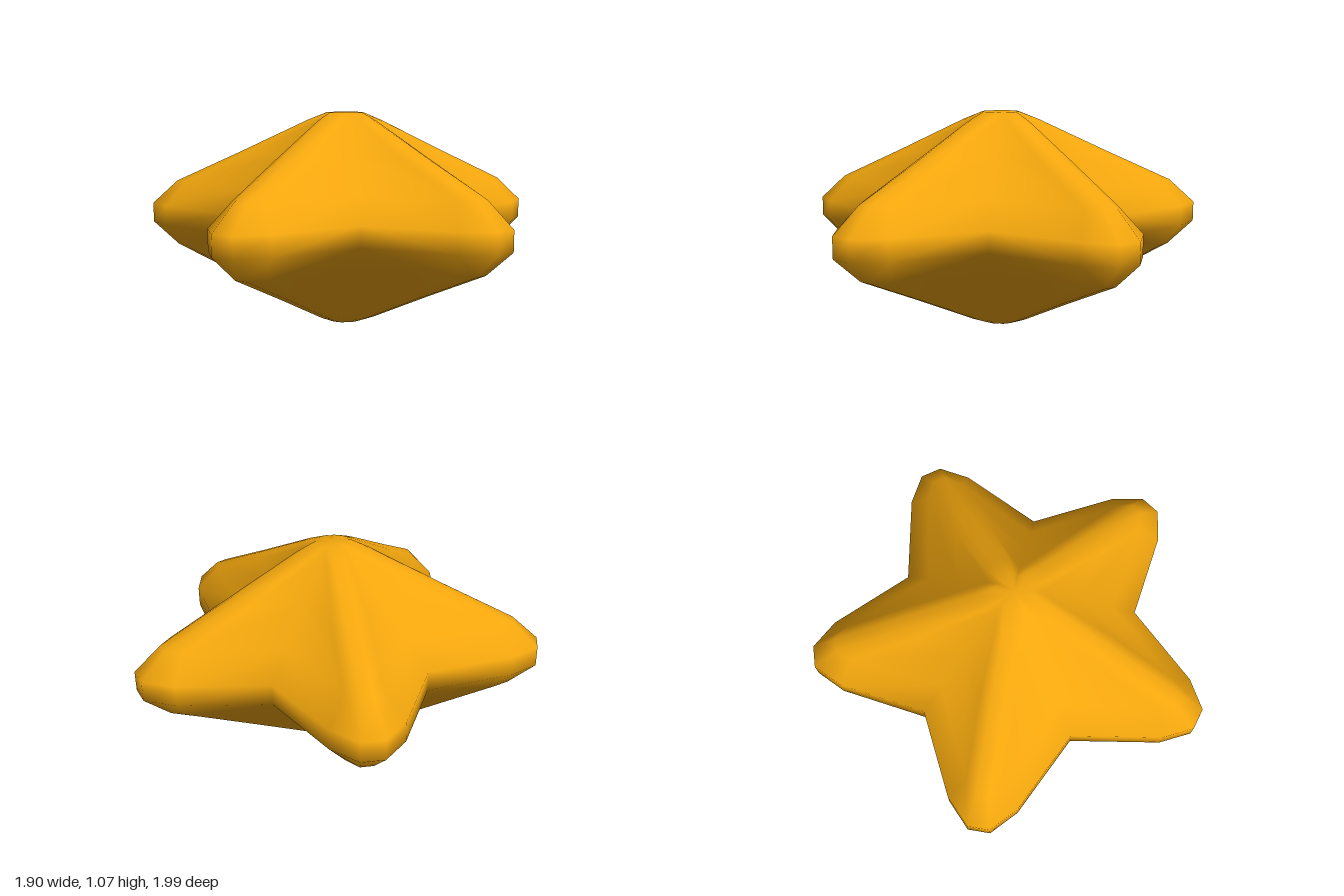
import * as THREE from 'three';

// Cross-sections from the middle to the top: height above the middle, valley radius,
// then shoulder and ridge points of one arm as [along, across].
const LEVELS = [
  { y: 0.05, valley: 0.63, shoulder: [0.91, 0.17], ridge: [1.03, 0.055] },
  { y: 0.17, valley: 0.497, shoulder: [0.83, 0.09], ridge: [0.9, 0.032] },
  { y: 0.33, valley: 0.32, shoulder: [0.49, 0.085], ridge: [0.545, 0.03] },
  { y: 0.495, valley: 0.137, shoulder: [0.165, 0.06], ridge: [0.19, 0.025] },
  { y: 0.535, valley: 0.08, shoulder: [0.083, 0.04], ridge: [0.09, 0.015] },
];
const ARMS = 5;
const MID_Y = 0.535;
const CENTRE_X = 0.08;

// One closed star outline, five points per arm
function starRing({ valley, shoulder, ridge }, y) {
  const points = [];
  const half = Math.PI / ARMS;
  const arm = [
    [valley * Math.cos(half), -valley * Math.sin(half)],
    [shoulder[0], -shoulder[1]],
    [ridge[0], -ridge[1]],
    [ridge[0], ridge[1]],
    [shoulder[0], shoulder[1]],
  ];
  for (let k = 0; k < ARMS; k++) {
    const angle = Math.PI + k * 2 * half;
    const c = Math.cos(angle), s = Math.sin(angle);
    for (const [u, v] of arm) {
      points.push(CENTRE_X + u * c - v * s, y, u * s + v * c);
    }
  }
  return points;
}

function starGeometry() {
  // Mirror the levels below the middle, then stack from bottom to top
  const rows = [
    ...LEVELS.slice().reverse().map((l) => starRing(l, MID_Y - l.y)),
    ...LEVELS.map((l) => starRing(l, MID_Y + l.y)),
  ];
  const n = ARMS * 5;
  const positions = rows.flat();
  const bottom = rows.length * n;
  positions.push(CENTRE_X, 0, 0, CENTRE_X, MID_Y * 2, 0);

  const index = [];
  for (let i = 0; i < n; i++) {
    const j = (i + 1) % n;
    for (let r = 0; r < rows.length - 1; r++) {
      const a = r * n + i, b = r * n + j;
      // Mirrored diagonals keep both flanks of an arm alike
      if (i % 5 < 3) index.push(a, a + n, b, b, a + n, b + n);
      else index.push(a, a + n, b + n, a, b + n, b);
    }
    const top = (rows.length - 1) * n;
    index.push(bottom, i, j, bottom + 1, top + j, top + i);
  }

  const geometry = new THREE.BufferGeometry();
  geometry.setAttribute('position', new THREE.Float32BufferAttribute(positions, 3));
  geometry.setIndex(index);
  geometry.computeVertexNormals();
  return geometry;
}

export function createModel() {
  const group = new THREE.Group();
  group.name = 'puffyStar';
  const star = new THREE.Mesh(
    starGeometry(),
    new THREE.MeshStandardMaterial({ color: 0xf2a60d })
  );
  star.name = 'starBody';
  group.add(star);
  return group;
}
